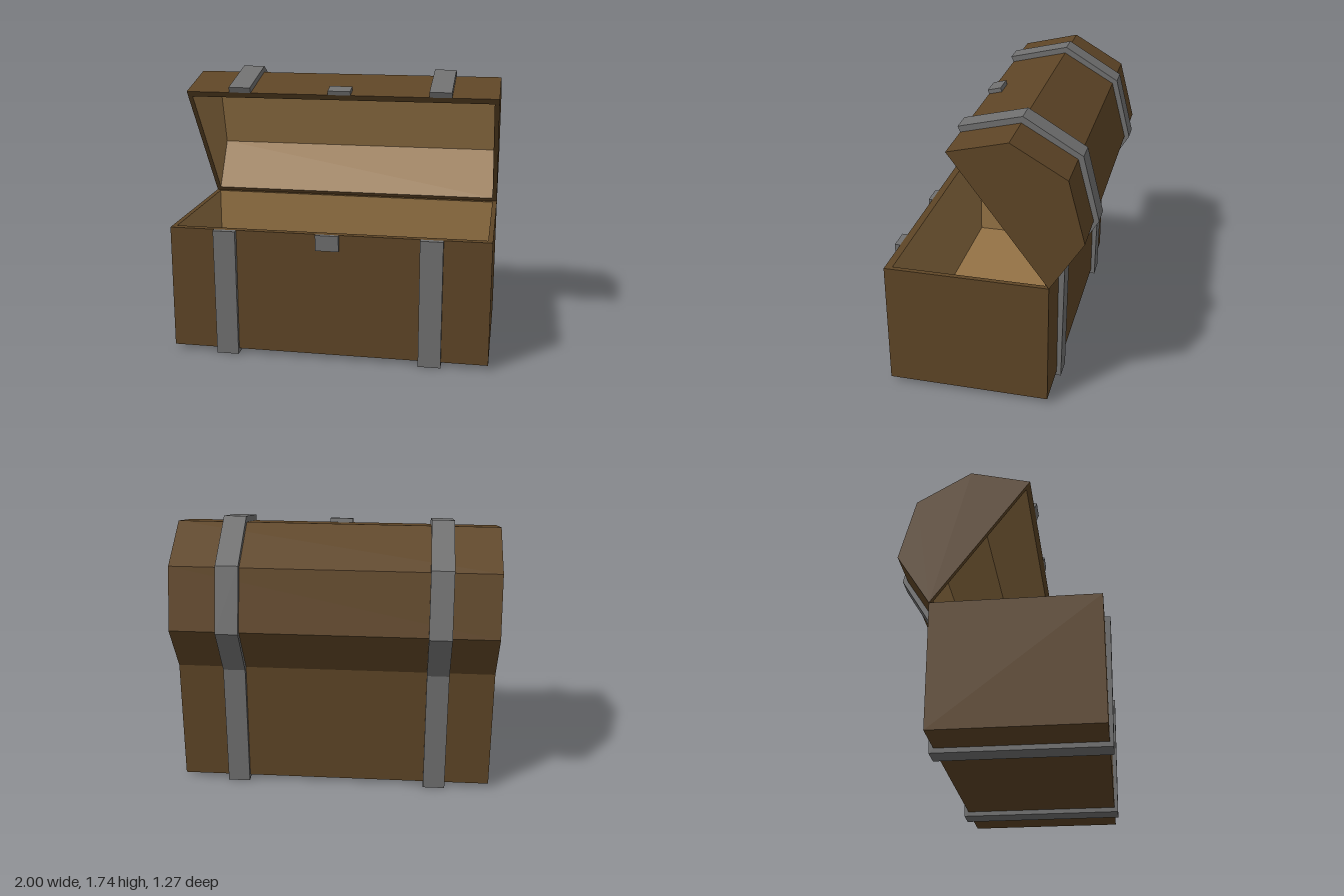
import * as THREE from 'three';

const WOOD = 0x5e4526, LINING = 0x957345, METAL = 0x707070;

function part(name, geometry, color) {
  const material = new THREE.MeshStandardMaterial({ color, flatShading: true });
  const mesh = new THREE.Mesh(geometry, material);
  mesh.name = name;
  return mesh;
}

// Profiles are lists of [z, y], counter-clockwise as seen from +x with z to the left.
function quadGeometry(quads) {
  const pos = [];
  for (const [a, b, c, d] of quads) pos.push(...a, ...b, ...c, ...a, ...c, ...d);
  const g = new THREE.BufferGeometry();
  g.setAttribute('position', new THREE.Float32BufferAttribute(pos, 3));
  g.computeVertexNormals();
  return g;
}

// Skin of a prism that is open between the last and first profile points
function skin(profile, w, inward) {
  const at = (i, x) => [x, profile[i][1], profile[i][0]];
  const quads = [];
  for (let i = 0; i < profile.length - 1; i++) {
    quads.push([at(i, -w), at(i + 1, -w), at(i + 1, w), at(i, w)]);
  }
  for (let i = 1; i < profile.length - 1; i++) {
    quads.push([at(0, w), at(i, w), at(i + 1, w), at(i + 1, w)]);
    quads.push([at(0, -w), at(i + 1, -w), at(i, -w), at(i, -w)]);
  }
  return inward ? quads.map((q) => q.reverse()) : quads;
}

// Hollow half of the chest: outer skin with the mouth rim, and an inner lining
function shell(name, outer, inner) {
  const mouth = (p, w) => {
    const f = p[0], l = p[p.length - 1];
    return [[-w, f[1], f[0]], [w, f[1], f[0]], [w, l[1], l[0]], [-w, l[1], l[0]]];
  };
  const o = mouth(outer, 1), n = mouth(inner, 0.97);
  const rim = o.map((p, i) => [p, o[(i + 1) % 4], n[(i + 1) % 4], n[i]]);
  const group = new THREE.Group();
  group.name = name;
  group.add(
    part(name + 'Boards', quadGeometry([...skin(outer, 1, false), ...rim]), WOOD),
    part(name + 'Lining', quadGeometry(skin(inner, 0.97, true)), LINING),
  );
  return group;
}

// Metal piece: closed [z, y] outline extruded across x around a centre
function metal(name, outline, x, width) {
  const shape = new THREE.Shape(outline.map(([z, y]) => new THREE.Vector2(-z, y)));
  const g = new THREE.ExtrudeGeometry(shape, { depth: width, bevelEnabled: false });
  g.translate(0, 0, -width / 2);
  g.rotateY(Math.PI / 2);
  g.translate(x, 0, 0);
  return part(name, g, METAL);
}

export function createModel() {
  const model = new THREE.Group();
  model.name = 'openChest';

  // Box and lid profiles
  const box = [[0.6, 0.815], [0.6, 0.03], [-0.4, 0.03], [-0.4, 0.815]];
  const boxInner = [[0.555, 0.815], [0.555, 0.06], [-0.37, 0.06], [-0.37, 0.815]];
  const lid = [[-0.4, 0.815], [-0.6, 1.13], [-0.5, 1.51], [-0.17, 1.7], [0.19, 1.61]];
  const lidInner = [[-0.38, 0.84], [-0.57, 1.14], [-0.475, 1.485], [-0.165, 1.665], [0.165, 1.575]];
  model.add(shell('box', box, boxInner), shell('lid', lid, lidInner));

  // Straps wrap around the outside of each half
  const boxStrap = [[0.635, 0.815], [0.622, 0], [-0.427, 0], [-0.437, 0.815]];
  const lidStrap = [[-0.435, 0.805], [-0.632, 1.13], [-0.53, 1.53], [-0.178, 1.74], [0.205, 1.645]];
  const band = (outer, inner) => [...outer, ...[...inner].reverse()];
  for (const [side, x] of [['left', 0.64], ['right', -0.645]]) {
    model.add(metal(side + 'BoxStrap', band(boxStrap, box), x, 0.14));
    model.add(metal(side + 'LidStrap', band(lidStrap, lid), x, 0.14));
  }

  // Clasp halves
  model.add(metal('boxClasp', [[0.6, 0.815], [0.6, 0.715], [0.62, 0.715], [0.625, 0.815]], 0, 0.145));
  model.add(metal('lidClasp', [[0.19, 1.61], [0.198, 1.636], [0.115, 1.657], [0.108, 1.631]], 0, 0.145));
  return model;
}
